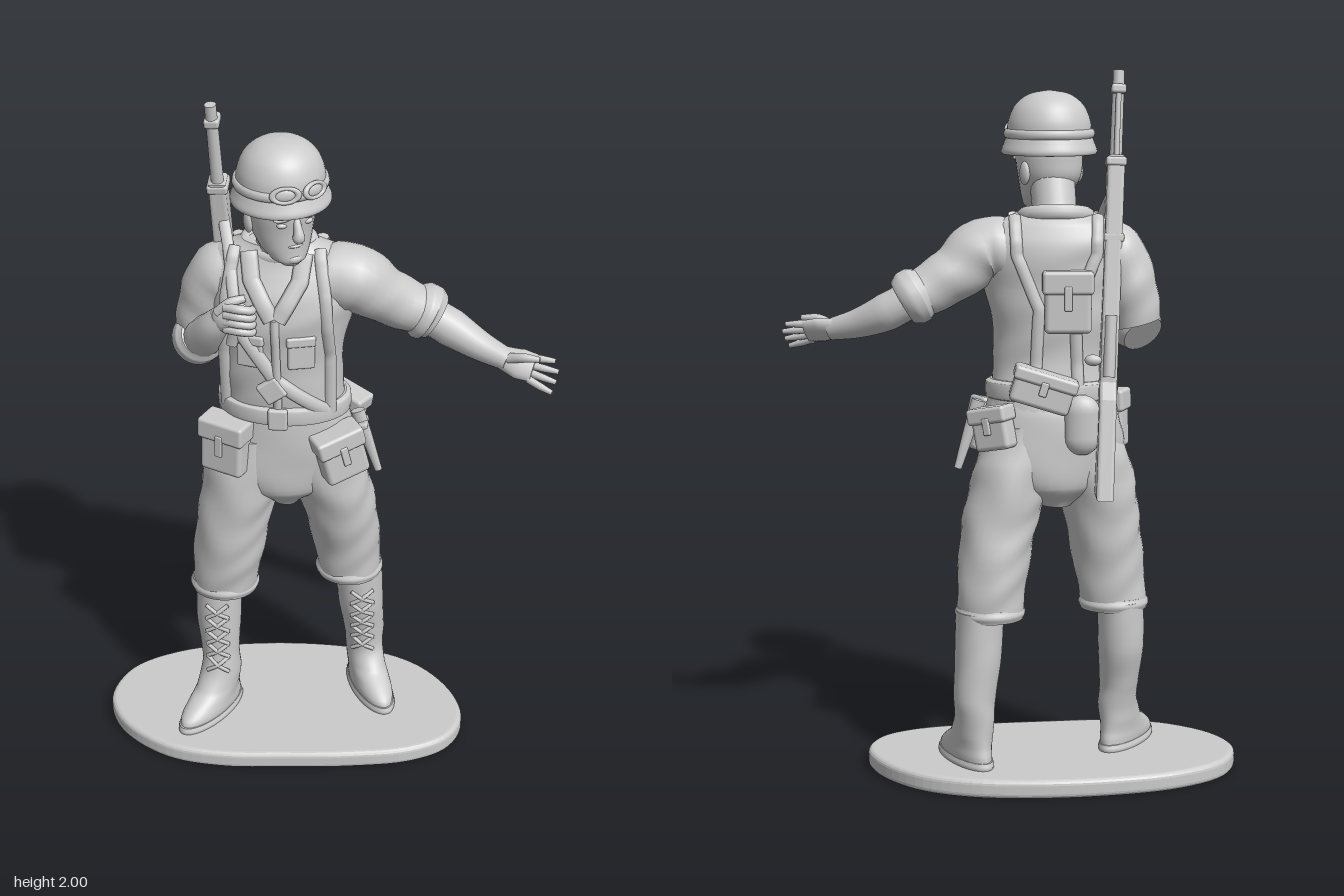
import * as THREE from 'three';
import { RoundedBoxGeometry } from 'three/addons/geometries/RoundedBoxGeometry.js';

const V = (x, y, z) => new THREE.Vector3(x, y, z);
const mat = new THREE.MeshStandardMaterial({ color: 0xcccccc });

function add(parent, name, geo, pos = [0, 0, 0], rot = [0, 0, 0], scale = [1, 1, 1]) {
  const m = new THREE.Mesh(geo, mat);
  m.name = name;
  m.position.set(...pos);
  m.rotation.set(...rot);
  m.scale.set(...scale);
  parent.add(m);
  return m;
}

// Closed skin over rings of equal point count, with crisp flat caps.
function skin(rings) {
  const n = rings[0].length;
  const mid = r => { const c = r.reduce((s, p) => s.add(p), V(0, 0, 0)).divideScalar(n); return r.map(() => c); };
  const first = rings[0], last = rings[rings.length - 1];
  const all = [mid(first), first, ...rings, last, mid(last)];
  const idx = [];
  for (let i = 0; i < all.length - 1; i++) for (let j = 0; j < n; j++) {
    const a = i * n + j, b = i * n + (j + 1) % n;
    idx.push(a, a + n, b, b, a + n, b + n);
  }
  const g = new THREE.BufferGeometry().setFromPoints(all.flat());
  g.setIndex(idx);
  g.computeVertexNormals();
  return g;
}

// Rows [y, cx, cz, rx, rz, yaw], listed upwards, blended into a smooth body.
function loft(rows, fold = 0, n = 32, sub = 6) {
  const rings = [], m = rows.length - 1;
  for (let i = 0; i <= m * sub; i++) {
    const k = Math.min(Math.floor(i / sub), m - 1), t = i / sub - k;
    const at = q => rows[Math.max(0, Math.min(m, q))];
    const v = [0, 1, 2, 3, 4, 5].map(c => {
      const [a, b, d, e] = [k - 1, k, k + 1, k + 2].map(q => at(q)[c] ?? 0);
      return c === 0 ? b + (d - b) * t
        : b + 0.5 * t * (d - a + t * (2 * a - 5 * b + 4 * d - e + t * (3 * (b - d) + e - a)));
    });
    const [y, cx, cz, rx, rz, yaw] = v, co = Math.cos(yaw), si = Math.sin(yaw);
    rings.push(Array.from({ length: n }, (_, j) => {
      const a = j / n * Math.PI * 2;
      const w = 1 + fold * (Math.sin(y * 46 + Math.sin(a * 2 + y * 7) * 2.6) + 0.5 * Math.sin(a * 5 + y * 19));
      const lx = rx * w * Math.cos(a), lz = rz * w * Math.sin(a);
      return V(cx + lx * co + lz * si, y, cz - lx * si + lz * co);
    }));
  }
  return skin(rings);
}

// Tube along points; radii are numbers or [width, thickness] facing ref.
function sweep(pts, radii, ref = V(0, 0, 1), fold = 0, n = 16) {
  const curve = new THREE.CatmullRomCurve3(pts.map(p => V(...p)));
  const steps = Math.max(8, (pts.length - 1) * 6), rings = [];
  for (let i = 0; i <= steps; i++) {
    const t = i / steps, c = curve.getPoint(t), d = curve.getTangent(t);
    const s = d.clone().cross(ref).normalize(), u = s.clone().cross(d);
    const f = t * (radii.length - 1), k = Math.min(Math.floor(f), Math.max(0, radii.length - 2));
    const get = (q, w) => { const r = radii[Math.min(q, radii.length - 1)]; return r.length ? r[w] : r; };
    const [ra, rb] = [0, 1].map(w => THREE.MathUtils.lerp(get(k, w), get(k + 1, w), f - k));
    rings.push(Array.from({ length: n }, (_, j) => {
      const a = j / n * Math.PI * 2, w = 1 + fold * Math.sin(t * 22 + Math.sin(a + 1) * 2.5);
      return c.clone().addScaledVector(s, ra * w * Math.cos(a)).addScaledVector(u, rb * w * Math.sin(a));
    }));
  }
  return skin(rings);
}

// Depth of a lofted body at x, y on its front (+1) or back (-1).
function depth(rows, x, y, side) {
  let k = 0;
  while (k < rows.length - 2 && rows[k + 1][0] < y) k++;
  const t = THREE.MathUtils.clamp((y - rows[k][0]) / (rows[k + 1][0] - rows[k][0]), 0, 1);
  const [cx, cz, rx, rz] = [1, 2, 3, 4].map(c => rows[k][c] + (rows[k + 1][c] - rows[k][c]) * t);
  return cz + side * rz * Math.sqrt(Math.max(0, 1 - ((x - cx) / rx) ** 2));
}

const torsoRows = [
  [1.06, -0.12, -0.01, 0.178, 0.122], [1.12, -0.12, 0, 0.172, 0.118], [1.2, -0.125, 0.01, 0.17, 0.115],
  [1.3, -0.13, 0.01, 0.178, 0.12], [1.4, -0.125, 0.015, 0.195, 0.125], [1.47, -0.12, 0.01, 0.208, 0.12],
  [1.53, -0.125, 0, 0.21, 0.105], [1.58, -0.13, 0, 0.17, 0.085], [1.615, -0.13, 0.01, 0.1, 0.065]];

// Flat strap laid on the torso through [x, y] points.
function strap(parent, name, pts, side, w = 0.017) {
  const path = [];
  pts.slice(1).forEach((b, i) => {
    for (let k = i ? 1 : 0; k <= 6; k++) {
      const x = pts[i][0] + (b[0] - pts[i][0]) * k / 6, y = pts[i][1] + (b[1] - pts[i][1]) * k / 6;
      path.push([x, y, depth(torsoRows, x, y, side) + side * 0.006]);
    }
  });
  add(parent, name, sweep(path, [[w, 0.01]], V(0, 0.35, side), 0, 8));
}

function pouch(parent, name, size, pos, rot) {
  const g = new THREE.Group();
  g.name = name;
  g.position.set(...pos);
  g.rotation.set(...rot);
  const [w, h, d] = size;
  add(g, 'pouchBody', new RoundedBoxGeometry(w, h, d, 3, 0.014));
  add(g, 'pouchFlap', new RoundedBoxGeometry(w + 0.012, h * 0.38, d + 0.014, 3, 0.01), [0, h * 0.33, 0.002]);
  add(g, 'pouchTab', new RoundedBoxGeometry(0.022, h * 0.4, 0.01, 2, 0.004), [0, h * 0.08, d / 2 + 0.008]);
  parent.add(g);
}

function buildLeg(root, side, trouser, shaft, ankle, yaw) {
  const g = new THREE.Group();
  g.name = side + 'Leg';
  add(g, 'trouserLeg', loft(trouser, 0.022));
  const [hy, hx, hz, hw, hd] = trouser[0];
  add(g, 'trouserHem', loft([[hy - 0.005, hx, hz, hw, hd], [hy + 0.012, hx, hz, hw + 0.006, hd + 0.006], [hy + 0.03, hx, hz, hw, hd]]));
  // Foot rows run along the toe direction
  const foot = [[0.05, 0.06, 0.05, 0.135], [0.085, 0.058, 0.054, 0.131], [0.11, 0.045, 0.053, 0.112],
    [0.14, 0.02, 0.053, 0.085], [0.19, 0.002, 0.055, 0.067]]
    .map(([y, f, w, l]) => [y, ankle[0] + f * Math.sin(yaw), ankle[1] + f * Math.cos(yaw), w, l, yaw]);
  add(g, 'boot', loft([...foot, ...shaft], 0.006));
  const sole = (y, e) => [y, foot[0][1], foot[0][2], 0.054 + e, 0.139 + e, yaw];
  add(g, 'sole', loft([sole(0.045, 0), sole(0.06, 0.004), sole(0.074, 0)]));
  // Crossed laces
  for (let k = 0; k < 5; k++) for (const s of [-1, 1]) {
    const cx = shaft[0][1], pt = (u, y) => [cx + u, y, depth([foot[4], ...shaft], cx + u, y, 1) + 0.003];
    const y = 0.205 + k * 0.046;
    add(g, 'lace', sweep([pt(-s * 0.032, y), pt(0, y + 0.023), pt(s * 0.032, y + 0.046)], [0.0065], V(0, 0, 1), 0, 6));
  }
  root.add(g);
}

function buildHead(root) {
  const g = new THREE.Group();
  g.name = 'head';
  g.position.set(-0.115, 0, 0.088);
  g.rotation.y = 0.55;
  const ball = (name, pos, scale) => add(g, name, new THREE.SphereGeometry(1, 20, 14), pos, [0, 0, 0], scale);
  add(g, 'skull', loft([[1.605, 0, 0.055, 0.025, 0.025], [1.62, 0, 0.045, 0.047, 0.046], [1.65, 0, 0.02, 0.068, 0.072],
    [1.7, 0, 0, 0.085, 0.094], [1.75, 0, 0, 0.092, 0.1], [1.8, 0, 0, 0.09, 0.1]]));
  add(g, 'nose', sweep([[0, 1.748, 0.092], [0, 1.72, 0.105], [0, 1.698, 0.108], [0, 1.69, 0.092]], [0.009, 0.012, 0.017, 0.01], V(1, 0, 0)));
  ball('upperLip', [0, 1.667, 0.084], [0.024, 0.006, 0.012]);
  ball('lowerLip', [0, 1.654, 0.08], [0.02, 0.007, 0.012]);
  ball('chin', [0, 1.627, 0.078], [0.024, 0.016, 0.018]);
  for (const s of [-1, 1]) {
    ball('eye', [s * 0.036, 1.732, 0.085], [0.016, 0.008, 0.01]);
    ball('brow', [s * 0.038, 1.751, 0.088], [0.026, 0.008, 0.012]);
    ball('ear', [s * 0.09, 1.715, -0.012], [0.012, 0.033, 0.02]);
  }
  // Helmet with brim, band and goggles
  const profile = [[0.1, 1.785], [0.128, 1.765], [0.135, 1.775], [0.127, 1.798], [0.12, 1.82], [0.115, 1.86], [0.095, 1.902], [0.055, 1.932], [0, 1.942]];
  add(g, 'helmet', new THREE.LatheGeometry(new THREE.SplineCurve(profile.map(p => new THREE.Vector2(...p))).getPoints(40), 48));
  add(g, 'helmetBand', new THREE.TorusGeometry(0.12, 0.009, 8, 48), [0, 1.822, 0], [Math.PI / 2, 0, 0], [1, 1, 1.5]);
  for (const s of [-1, 1]) {
    const r = [-0.15, s * 0.36, 0];
    add(g, 'goggleRim', new THREE.TorusGeometry(0.026, 0.007, 8, 20), [s * 0.042, 1.832, 0.118], r, [1.3, 0.75, 1]);
    add(g, 'goggleLens', new THREE.SphereGeometry(0.025, 16, 10), [s * 0.042, 1.832, 0.113], r, [1.3, 0.75, 0.4]);
  }
  root.add(g);
}

function buildRifle(root) {
  const g = new THREE.Group(), low = V(-0.26, 0.83, -0.155), dir = V(-0.305, 2, 0.015).sub(low), L = dir.length();
  g.name = 'rifle';
  g.position.copy(low);
  g.quaternion.setFromUnitVectors(V(0, 1, 0), dir.normalize());
  const outline = [[-0.055, 0], [0.035, 0.01], [0.026, 0.3], [0.032, 0.4], [0.027, 0.94], [-0.02, 0.94], [-0.028, 0.45], [-0.022, 0.32], [-0.035, 0.27]];
  const stock = new THREE.ExtrudeGeometry(new THREE.Shape(outline.map(p => new THREE.Vector2(...p))),
    { depth: 0.03, bevelSize: 0.008, bevelThickness: 0.009, bevelSegments: 3 });
  add(g, 'stock', stock.translate(0, 0, -0.015).rotateY(-Math.PI / 2));
  add(g, 'barrel', new THREE.CylinderGeometry(0.016, 0.018, L - 0.88, 16), [0, (L + 0.88) / 2, 0.012]);
  add(g, 'cleaningRod', new THREE.CylinderGeometry(0.008, 0.008, 0.2, 10), [0, 1.03, -0.012]);
  for (const y of [0.72, 0.93, 1.13]) add(g, 'band', new RoundedBoxGeometry(y > 1 ? 0.042 : 0.058, 0.026, y > 1 ? 0.055 : 0.07, 2, 0.008), [0, y, 0.003]);
  add(g, 'bolt', new THREE.CylinderGeometry(0.017, 0.017, 0.17, 14), [0, 0.42, -0.03]);
  add(g, 'boltHandle', new THREE.SphereGeometry(0.016, 12, 8), [0.045, 0.38, -0.03], [0, 0, 0], [1.5, 1, 1]);
  add(g, 'triggerGuard', new THREE.TorusGeometry(0.026, 0.006, 6, 16), [0, 0.36, 0.035], [0, Math.PI / 2, 0]);
  root.add(g);
}

function buildArms(root) {
  const left = new THREE.Group(), right = new THREE.Group();
  left.name = 'leftArm';
  right.name = 'rightArm';
  root.add(left, right);
  // Outstretched left arm with open hand
  add(left, 'sleeve', sweep([[-0.01, 1.5, 0.005], [0.07, 1.5, 0.005], [0.16, 1.435, -0.02], [0.27, 1.375, -0.045]], [0.09, 0.095, 0.078, 0.066], V(0, 0, 1), 0.025, 24));
  add(left, 'rolledCuff', sweep([[0.235, 1.395, -0.038], [0.255, 1.385, -0.042], [0.275, 1.374, -0.046], [0.295, 1.362, -0.046]], [0.066, 0.08, 0.08, 0.066], V(0, 0, 1), 0, 24));
  add(left, 'forearm', sweep([[0.26, 1.38, -0.045], [0.34, 1.335, -0.035], [0.42, 1.3, -0.005], [0.5, 1.278, 0.03]], [0.052, 0.054, 0.042, 0.031]));
  add(left, 'palm', sweep([[0.48, 1.283, 0.02], [0.53, 1.275, 0.04], [0.57, 1.27, 0.052]], [[0.032, 0.024], [0.043, 0.021], [0.04, 0.016]], V(0, 0.6, 0.8)));
  for (let k = 0; k < 4; k++) {
    const u = k - 1.5, len = 0.085 - Math.abs(u - 0.3) * 0.01;
    add(left, 'finger', sweep([[0.555, 1.268 + u * 0.016, 0.05 - u * 0.012], [0.555 + len / 2, 1.262 + u * 0.02, 0.062 - u * 0.015],
      [0.555 + len, 1.256 + u * 0.023, 0.072 - u * 0.018]], [0.011, 0.0105, 0.007], V(0, 0, 1), 0, 10));
  }
  add(left, 'thumb', sweep([[0.5, 1.29, 0.04], [0.54, 1.305, 0.06], [0.585, 1.306, 0.07]], [0.015, 0.013, 0.008]));
  // Bent right arm holding the sling
  add(right, 'sleeve', sweep([[-0.23, 1.53, 0], [-0.295, 1.495, -0.005], [-0.335, 1.4, -0.015], [-0.36, 1.3, -0.015]], [0.07, 0.084, 0.08, 0.068], V(0, 0, 1), 0.025, 24));
  add(right, 'rolledCuff', sweep([[-0.375, 1.27, -0.02], [-0.362, 1.287, 0.0], [-0.35, 1.305, 0.02], [-0.342, 1.318, 0.035]], [0.06, 0.075, 0.073, 0.06], V(1, 0, 0), 0, 24));
  add(right, 'forearm', sweep([[-0.36, 1.28, 0], [-0.33, 1.33, 0.055], [-0.3, 1.385, 0.1], [-0.275, 1.42, 0.115]], [0.058, 0.055, 0.042, 0.034], V(1, 0, 0)));
  add(right, 'fist', new THREE.SphereGeometry(1, 24, 16), [-0.25, 1.425, 0.122], [0, 0, 0.4], [0.056, 0.045, 0.034]);
  for (let k = 0; k < 4; k++) {
    const y = 1.392 + k * 0.022;
    add(right, 'finger', sweep([[-0.265, y + 0.006, 0.143], [-0.225, y + 0.008, 0.156], [-0.192, y, 0.145], [-0.19, y - 0.004, 0.12]], [0.012, 0.013, 0.012, 0.009], V(0, 1, 0), 0, 10));
  }
  add(right, 'thumb', sweep([[-0.285, 1.44, 0.13], [-0.25, 1.474, 0.135], [-0.21, 1.485, 0.125]], [0.016, 0.014, 0.01]));
}

export function createModel() {
  const root = new THREE.Group();
  root.name = 'soldierFigure';

  // Base plate
  const rim = [[-0.655, 0.01], [-0.61, -0.12], [-0.47, -0.22], [-0.26, -0.276], [-0.05, -0.292], [0.124, -0.273], [0.264, -0.21], [0.37, -0.09],
    [0.408, 0.035], [0.37, 0.14], [0.264, 0.21], [0.09, 0.25], [-0.12, 0.273], [-0.28, 0.284], [-0.435, 0.262], [-0.56, 0.19], [-0.63, 0.105]];
  const loop = new THREE.CatmullRomCurve3(rim.map(([x, z]) => V(x, -z, 0)), true).getPoints(90).slice(0, -1);
  const plate = new THREE.ExtrudeGeometry(new THREE.Shape(loop.map(p => new THREE.Vector2(p.x, p.y))),
    { depth: 0.024, bevelThickness: 0.015, bevelSize: 0.015, bevelOffset: -0.015, bevelSegments: 4 });
  add(root, 'base', plate.rotateX(-Math.PI / 2).translate(0, 0.015, 0));

  // Legs and boots
  buildLeg(root, 'right',
    [[0.48, -0.3, 0.015, 0.095, 0.088], [0.6, -0.285, 0.02, 0.102, 0.1], [0.75, -0.265, 0.015, 0.108, 0.112], [0.9, -0.235, 0.005, 0.112, 0.122], [1.02, -0.21, 0, 0.09, 0.11]],
    [[0.25, -0.318, 0.018, 0.056, 0.062], [0.36, -0.322, 0.005, 0.066, 0.075], [0.5, -0.32, 0.002, 0.066, 0.076]], [-0.315, 0.028], -0.5);
  buildLeg(root, 'left',
    [[0.48, 0.056, -0.1, 0.094, 0.092], [0.6, 0.048, -0.09, 0.1, 0.103], [0.75, 0.025, -0.06, 0.108, 0.114], [0.9, -0.012, -0.035, 0.112, 0.124], [1.02, -0.03, -0.02, 0.09, 0.11]],
    [[0.25, 0.1, -0.128, 0.06, 0.068], [0.36, 0.09, -0.115, 0.067, 0.078], [0.5, 0.085, -0.108, 0.068, 0.08]], [0.1, -0.13], 0.43);

  // Hips and shirt
  add(root, 'hips', loft([[0.79, -0.125, -0.02, 0.05, 0.08, 0.2], [0.85, -0.123, -0.018, 0.16, 0.122, 0.2], [0.95, -0.122, -0.015, 0.205, 0.13, 0.15], [1.05, -0.12, -0.01, 0.188, 0.126], [1.12, -0.12, 0, 0.17, 0.116]], 0.008));
  add(root, 'shirt', loft(torsoRows, 0.01, 40));
  const ring = (y, e) => [y, -0.12, 0, 0.174 + e, 0.12 + e];
  add(root, 'belt', loft([ring(1.088, 0), ring(1.095, 0.012), ring(1.138, 0.012), ring(1.145, 0)], 0, 40));
  add(root, 'buckle', new RoundedBoxGeometry(0.055, 0.065, 0.02, 2, 0.008), [-0.125, 1.117, 0.135]);
  add(root, 'neck', sweep([[-0.13, 1.53, -0.005], [-0.128, 1.61, 0.025], [-0.122, 1.7, 0.06]], [0.075, 0.062, 0.064], V(1, 0, 0), 0, 24));
  add(root, 'collar', new THREE.TorusGeometry(0.082, 0.018, 10, 32), [-0.13, 1.598, 0.005], [Math.PI / 2 + 0.25, 0, 0], [1.1, 0.85, 1.2]);

  // Lapels, pockets and straps
  for (const s of [-1, 1]) {
    const x = u => -0.13 + s * u;
    strap(root, 'lapel', [[x(0.075), 1.6], [x(0.065), 1.53], [x(0.008), 1.43]], 1, 0.024);
    strap(root, 'frontSuspender', [[x(0.115), 1.6], [x(0.135), 1.48], [x(0.145), 1.3], [x(0.145), 1.12]], 1);
    strap(root, 'backSuspender', [[x(0.115), 1.6], [x(0.11), 1.5], [x(0.05), 1.35], [x(0.06), 1.12]], -1);
    add(root, 'chestPocket', new RoundedBoxGeometry(0.075, 0.09, 0.016, 2, 0.007), [x(0.07), 1.32, 0.122], [0, s * 0.25, 0]);
    add(root, 'pocketFlap', new RoundedBoxGeometry(0.082, 0.03, 0.02, 2, 0.007), [x(0.07), 1.36, 0.126], [0, s * 0.25, 0]);
  }
  strap(root, 'placket', [[-0.13, 1.43], [-0.125, 1.15]], 1, 0.012);
  strap(root, 'crossStrap', [[-0.235, 1.4], [-0.13, 1.24], [0.025, 1.11]], 1, 0.02);
  add(root, 'strapBuckle', new RoundedBoxGeometry(0.065, 0.065, 0.022, 2, 0.008), [-0.14, 1.21, 0.137], [0, 0, 0.6]);

  // Belt gear
  pouch(root, 'rightPouch', [0.13, 0.165, 0.07], [-0.275, 1.01, 0.1], [0, -0.4, -0.04]);
  pouch(root, 'leftPouch', [0.13, 0.15, 0.07], [0.045, 0.99, 0.085], [0, 0.5, 0.25]);
  pouch(root, 'backPouch', [0.17, 0.1, 0.075], [-0.09, 1.13, -0.135], [0, Math.PI, -0.3]);
  pouch(root, 'hipPouch', [0.11, 0.12, 0.06], [0.045, 1.02, -0.12], [0, 2.6, 0.2]);
  pouch(root, 'backPack', [0.13, 0.17, 0.05], [-0.16, 1.37, -0.115], [0, Math.PI, 0]);
  add(root, 'canteen', new THREE.CapsuleGeometry(0.05, 0.07, 6, 16), [-0.2, 1.03, -0.13], [0, 0, 0], [1, 1, 0.65]);
  add(root, 'bayonet', sweep([[0.085, 1.08, 0.0], [0.11, 1.0, 0.0], [0.145, 0.885, -0.005]], [[0.02, 0.014], [0.017, 0.012], [0.011, 0.009]]));
  add(root, 'bayonetGuard', new RoundedBoxGeometry(0.03, 0.018, 0.06, 2, 0.006), [0.1, 1.04, 0], [0, 0, 0.3]);

  // Rifle sling over the right shoulder
  add(root, 'rifleSling', sweep([[-0.285, 1.66, -0.02], [-0.265, 1.6, 0.04], [-0.245, 1.5, 0.11], [-0.235, 1.42, 0.135], [-0.25, 1.34, 0.125]], [[0.016, 0.009]], V(0, 0.5, 1), 0, 8));

  buildArms(root);
  buildHead(root);
  buildRifle(root);
  return root;
}
